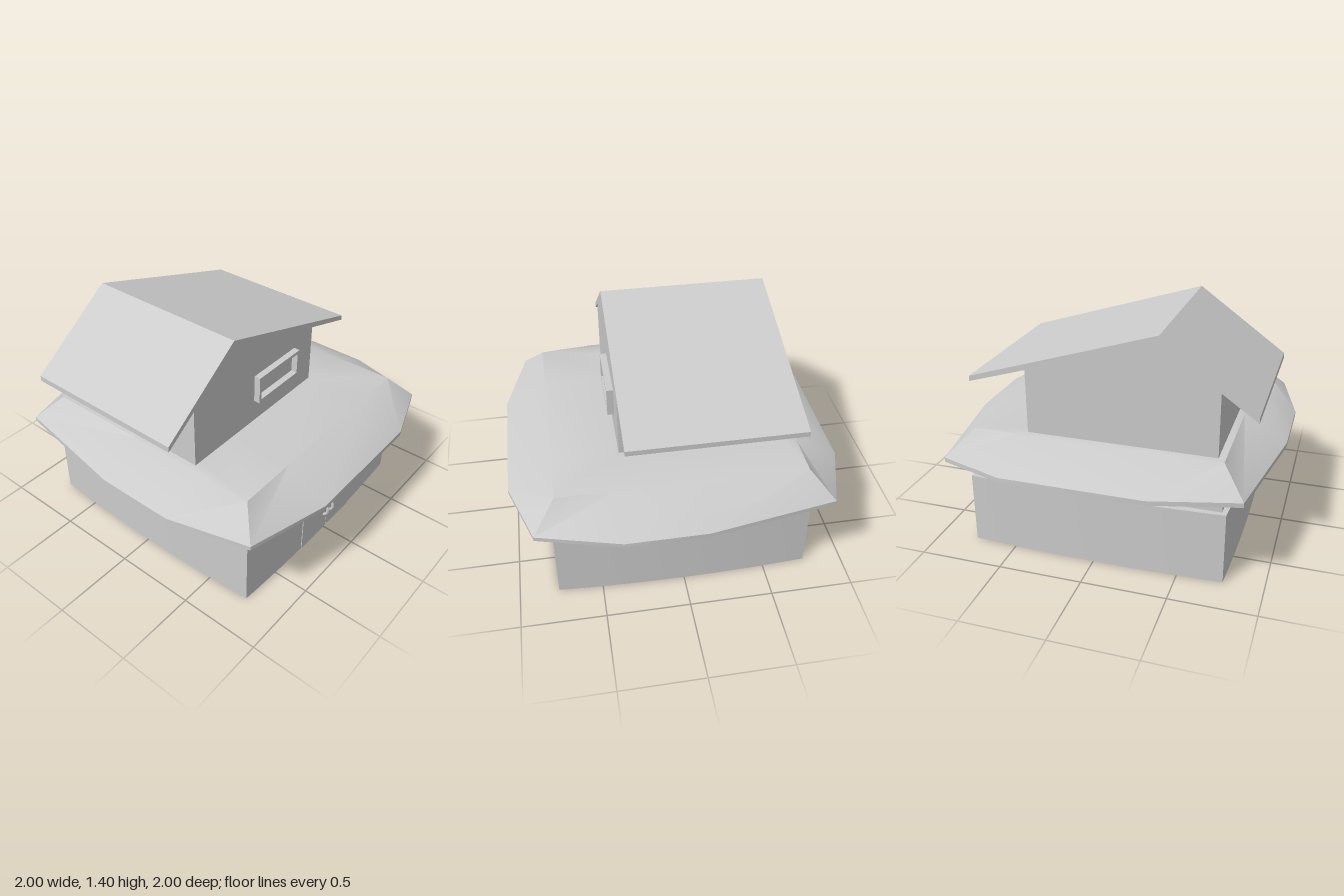
import * as THREE from 'three';
import { toCreasedNormals } from 'three/addons/utils/BufferGeometryUtils.js';

const material = new THREE.MeshStandardMaterial({ color: 0xcccccc });

function part(parent, name, geometry, x = 0, y = 0, z = 0) {
  const mesh = new THREE.Mesh(geometry, material);
  mesh.name = name;
  mesh.position.set(x, y, z);
  parent.add(mesh);
  return mesh;
}

const polygon = (pts) => new THREE.Shape(pts.map(([x, y]) => new THREE.Vector2(x, y)));
const rectangle = (x0, y0, x1, y1) => polygon([[x0, y0], [x1, y0], [x1, y1], [x0, y1]]);

function extrude(shape, depth) {
  return new THREE.ExtrudeGeometry(shape, { depth, bevelEnabled: false });
}

// Profile drawn in (z, y), extruded from x0 to x1
function extrudeAcross(shape, x0, x1) {
  return extrude(shape, x1 - x0).rotateY(-Math.PI / 2).translate(x1, 0, 0);
}

// Square outline whose four sides bow outwards
function bowedSquare(r, bow, steps) {
  const pts = [];
  for (let side = 0; side < 4; side++) {
    const c = Math.round(Math.cos(side * Math.PI / 2));
    const s = Math.round(Math.sin(side * Math.PI / 2));
    for (let i = 0; i < steps; i++) {
      const t = -1 + 2 * i / steps;
      const out = r + bow * (1 - t * t);
      pts.push([c * out - s * t * r, s * out + c * t * r]);
    }
  }
  return pts;
}

// Hollow square storey, open above and below
function storey(outline, inner, y0, y1) {
  const shape = polygon(outline);
  shape.holes.push(rectangle(-inner, -inner, inner, inner));
  const geo = extrude(shape, y1 - y0).rotateX(-Math.PI / 2).translate(0, y0, 0);
  return toCreasedNormals(geo, 0.3);
}

// Skirt roof: rings of twelve points joined in a closed loop
function skirtRoof() {
  const outer = [
    [-0.1, 1], [0.38, 1], [0.865, 0.87], [1, 0.37], [1, -0.47], [0.865, -0.87],
    [0.38, -1], [-0.1, -1], [-0.87, -0.87], [-1, -0.47], [-1, 0.37], [-0.87, 0.87],
  ];
  const clamp = THREE.MathUtils.clamp;
  const ring = (y, x0, x1, z0, z1) =>
    outer.map(([x, z]) => new THREE.Vector3(clamp(x, x0, x1), y, clamp(z, z0, z1)));
  const rings = [
    ring(0.67, -0.645, 0.285, -0.365, 0.645),
    ring(0.67, -0.7, 0.7, -0.7, 0.7),
    ring(0.565, -1, 1, -1, 1),
    ring(0.592, -1, 1, -1, 1),
    ring(0.74, -0.735, 0.735, -0.735, 0.735),
    ring(0.74, -0.645, 0.285, -0.365, 0.645),
  ];
  const pts = [];
  rings.forEach((a, k) => {
    const b = rings[(k + 1) % rings.length];
    for (let i = 0; i < a.length; i++) {
      const j = (i + 1) % a.length;
      for (const tri of [[a[i], a[j], b[j]], [a[i], b[j], b[i]]]) {
        if (new THREE.Triangle(...tri).getArea() > 1e-7) pts.push(...tri);
      }
    }
  });
  return toCreasedNormals(new THREE.BufferGeometry().setFromPoints(pts), 0.62);
}

export function createModel() {
  const model = new THREE.Group();
  model.name = 'house';

  // Ground floor and the narrower band above it
  part(model, 'lowerWalls', storey(bowedSquare(0.765, 0.025, 10), 0.737, 0, 0.435));
  part(model, 'upperBand', storey(bowedSquare(0.738, 0, 1), 0.7, 0.42, 0.68));
  part(model, 'skirtRoof', skirtRoof());

  // Double door with curved handles
  const doors = new THREE.Group();
  doors.name = 'doubleDoor';
  model.add(doors);
  for (const [z0, z1, handleZ] of [[-0.275, -0.022, -0.04], [-0.018, 0.245, 0.015]]) {
    part(doors, 'doorLeaf', new THREE.BoxGeometry(0.02, 0.43, z1 - z0), 0.782, 0.217, (z0 + z1) / 2);
    const handle = new THREE.TorusGeometry(0.046, 0.01, 10, 20, Math.PI).rotateZ(-Math.PI / 2);
    part(doors, 'doorHandle', handle, 0.775, 0.168, handleZ);
  }

  // Upper room: front and back walls with the uneven gable roof in one profile
  const x0 = -0.695, x1 = 0.335;
  const room = new THREE.Group();
  room.name = 'upperRoom';
  model.add(room);
  const shell = polygon([
    [0.695, 0.735], [0.695, 1.115], [0.9, 0.97], [0.9, 1.005], [0.355, 1.397],
    [-0.765, 1.046], [-0.765, 1.014], [-0.415, 1.12], [-0.415, 0.735],
    [-0.365, 0.735], [-0.365, 1.136], [0.355, 1.356], [0.645, 1.15], [0.645, 0.735],
  ]);
  part(room, 'roofAndWalls', extrudeAcross(shell, x0, x1));

  // Gable end walls
  const gable = polygon([
    [-0.365, 0.735], [0.645, 0.735], [0.645, 1.15], [0.355, 1.356], [-0.365, 1.136],
  ]);
  part(room, 'gableWall', extrudeAcross(gable, x0, x0 + 0.05));
  part(room, 'gableWall', extrudeAcross(gable, x1 - 0.05, x1));

  // Window frame on one gable
  const frame = rectangle(-0.228, 0.885, 0.165, 1.062);
  frame.holes.push(rectangle(-0.21, 0.905, 0.148, 1.042));
  part(room, 'windowFrame', extrudeAcross(frame, 0.33, 0.375));

  return model;
}
